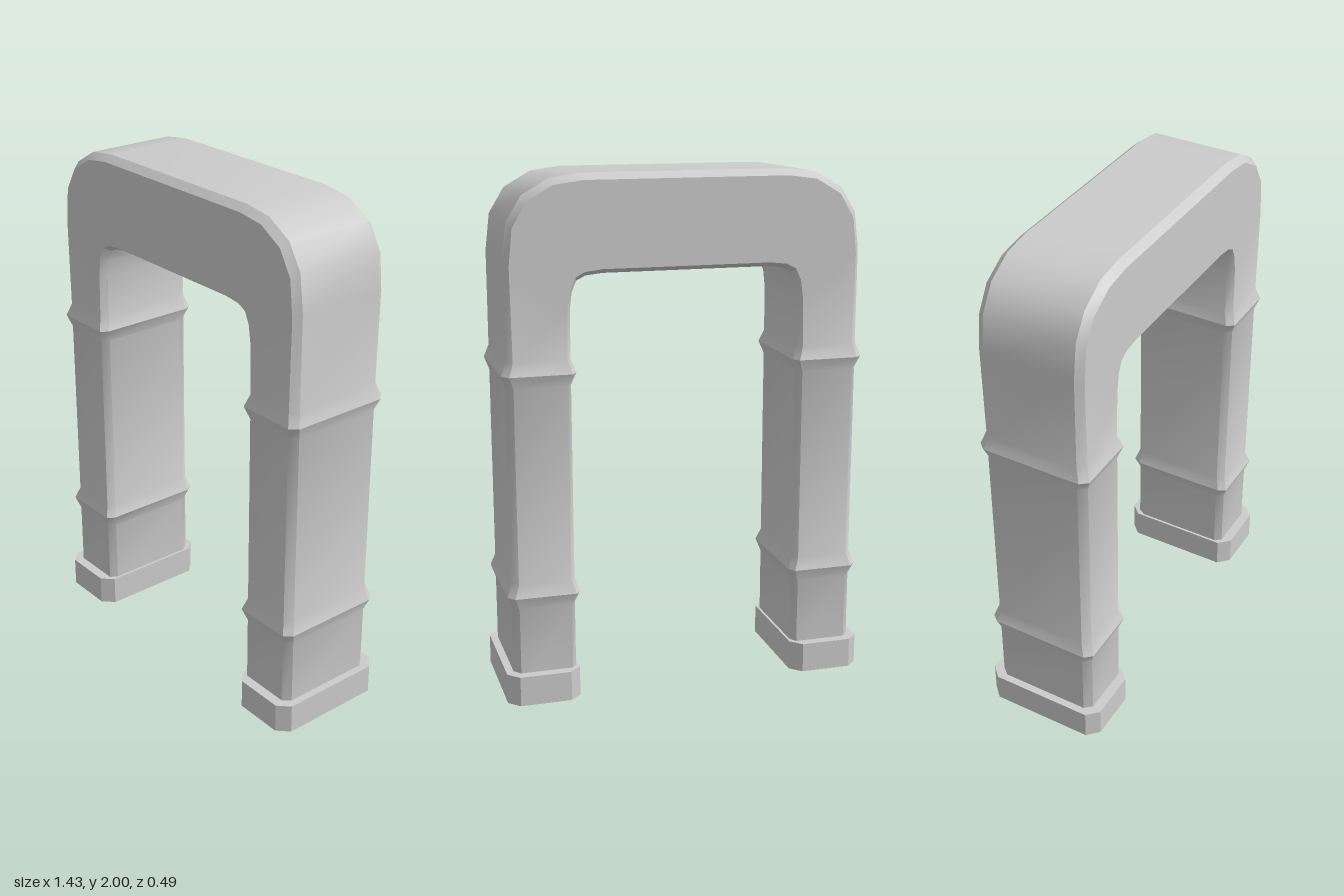
import * as THREE from 'three';
import { toCreasedNormals } from 'three/addons/utils/BufferGeometryUtils.js';

const material = new THREE.MeshStandardMaterial({ color: 0xcccccc });
const CREASE = THREE.MathUtils.degToRad(30);

// Stations of one half, foot to crown: inner x, y, outer x, y, half depth
const leg = (y, flare = 0) => [0.442 - flare, y, 0.687 + flare, y, 0.208 + flare];
const ring = (y) => [leg(y - 0.048), leg(y, 0.017), leg(y + 0.05)];
const half = [
  leg(0.05),
  ...ring(0.424),
  ...ring(1.276),
  [0.442, 1.5, 0.687, 1.69, 0.208],
  [0.434, 1.57, 0.67, 1.83, 0.208],
  [0.416, 1.613, 0.612, 1.925, 0.208],
  [0.383, 1.63, 0.51, 1.984, 0.208],
  [0.32, 1.637, 0.395, 2.0, 0.208],
];

// Chamfered rectangular section between the inner and outer point
function section([ix, iy, ox, oy, depth]) {
  const inner = new THREE.Vector2(ix, iy);
  const outer = new THREE.Vector2(ox, oy);
  const dir = outer.clone().sub(inner).normalize();
  const innerCut = inner.clone().addScaledVector(dir, 0.018);
  const outerCut = outer.clone().addScaledVector(dir, -0.025);
  const side = depth - 0.029;
  return [
    [inner, -side], [innerCut, -depth], [outerCut, -depth], [outer, -side],
    [outer, side], [outerCut, depth], [innerCut, depth], [inner, side],
  ].map(([p, z]) => [p.x, p.y, z]);
}

// Swept body: both legs and the crossbar in one band
function archGeometry() {
  const mirrored = half.map(([ix, iy, ox, oy, d]) => [-ix, iy, -ox, oy, d]).reverse();
  const sections = [...half, ...mirrored].map(section);
  const n = 8;
  const index = [];
  for (let s = 0; s < sections.length - 1; s++) {
    for (let i = 0; i < n; i++) {
      const a = s * n + i;
      const b = s * n + ((i + 1) % n);
      index.push(a, a + n, b, b, a + n, b + n);
    }
  }
  const geometry = new THREE.BufferGeometry();
  geometry.setAttribute('position', new THREE.Float32BufferAttribute(sections.flat(2), 3));
  geometry.setIndex(index);
  return toCreasedNormals(geometry, CREASE);
}

// Foot plate with cut corners
function footGeometry() {
  const w = 0.142, d = 0.247, c = 0.043;
  const shape = new THREE.Shape([
    [-w + c, -d], [w - c, -d], [w, -d + c], [w, d - c],
    [w - c, d], [-w + c, d], [-w, d - c], [-w, -d + c],
  ].map(([x, y]) => new THREE.Vector2(x, y)));
  return new THREE.ExtrudeGeometry(shape, { depth: 0.117, bevelEnabled: false }).rotateX(-Math.PI / 2);
}

export function createModel() {
  const model = new THREE.Group();
  model.name = 'archway';

  const arch = new THREE.Mesh(archGeometry(), material);
  arch.name = 'arch';
  model.add(arch);

  const foot = footGeometry();
  for (const [name, side] of [['leftFoot', 1], ['rightFoot', -1]]) {
    const mesh = new THREE.Mesh(foot, material);
    mesh.name = name;
    mesh.position.x = side * 0.574;
    model.add(mesh);
  }
  return model;
}
